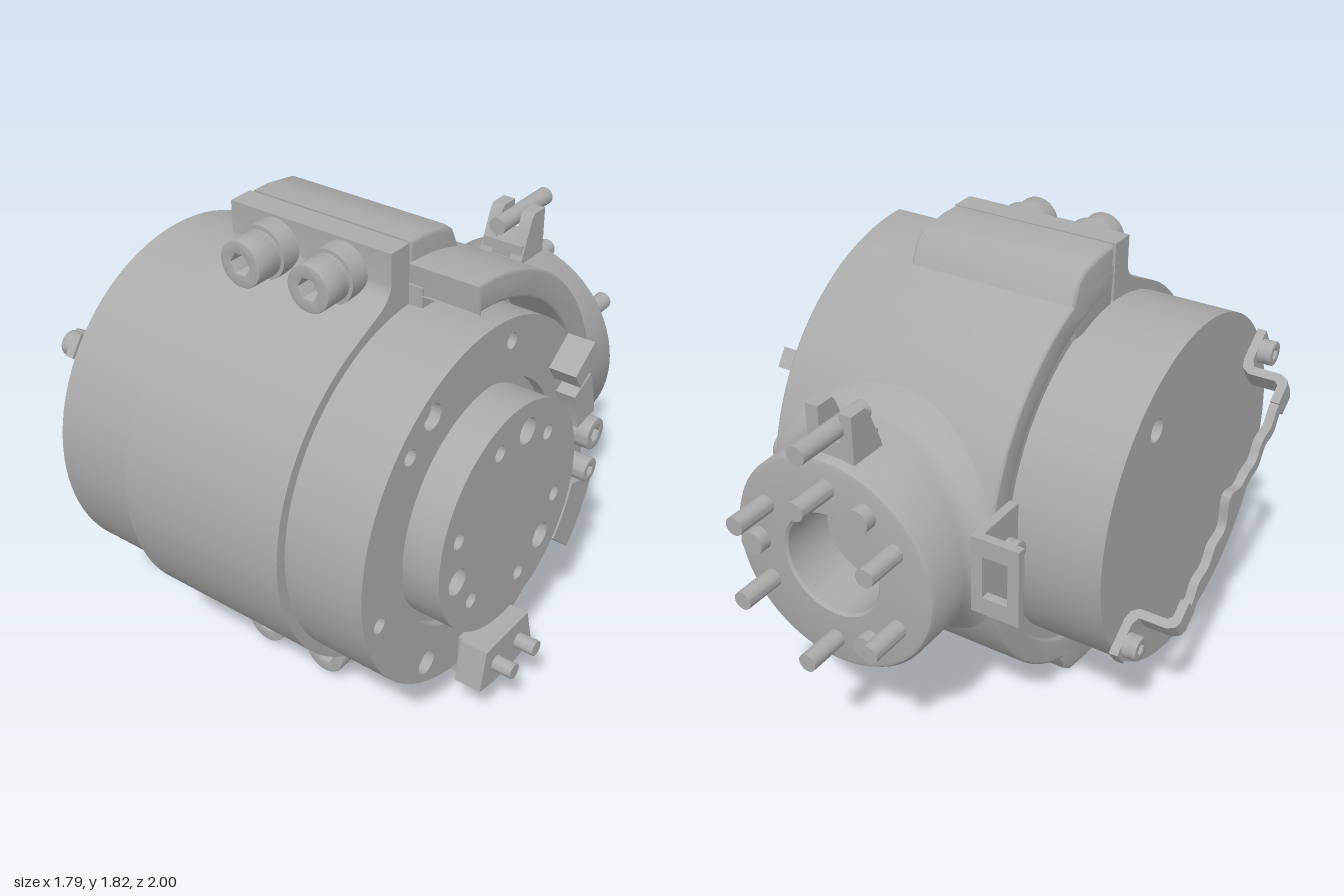
import * as THREE from 'three';
import { toCreasedNormals } from 'three/addons/utils/BufferGeometryUtils.js';

const CY = 0.91, CZ = 0.28; // main axis runs along x through here

export function createModel() {
  const model = new THREE.Group();
  const grey = new THREE.MeshStandardMaterial({ color: 0xaaaaaa });
  grey.name = 'machined grey';

  const add = (name, geo, parent = model) => {
    const g = toCreasedNormals(geo.index ? geo.toNonIndexed() : geo, 0.6);
    const mesh = new THREE.Mesh(g, grey);
    mesh.name = name;
    parent.add(mesh);
    return mesh;
  };
  // Extrude a (-z, y) shape along x from x0 to x1
  const extrudeX = (shape, x0, x1, bevel = 0) => new THREE.ExtrudeGeometry(shape, {
    depth: x1 - x0 - 2 * bevel, curveSegments: 48, bevelEnabled: bevel > 0,
    bevelThickness: bevel, bevelSize: bevel, bevelOffset: -bevel, bevelSegments: 3,
  }).rotateY(Math.PI / 2).translate(x0 + bevel, 0, 0);
  const poly = (pts) => new THREE.Shape(pts.map(([z, y]) => new THREE.Vector2(-z, y)));
  const cylX = (r, x0, x1, y = CY, z = CZ, seg = 24) =>
    new THREE.CylinderGeometry(r, r, x1 - x0, seg).rotateZ(-Math.PI / 2).translate((x0 + x1) / 2, y, z);
  const cylZ = (r, z0, z1, x, y, seg = 24) =>
    new THREE.CylinderGeometry(r, r, z1 - z0, seg).rotateX(Math.PI / 2).translate(x, y, (z0 + z1) / 2);
  const box = (x0, x1, y0, y1, z0, z1) =>
    new THREE.BoxGeometry(x1 - x0, y1 - y0, z1 - z0).translate((x0 + x1) / 2, (y0 + y1) / 2, (z0 + z1) / 2);
  // Disc facing x with round holes given as [z, y, radius]
  const drilledDisc = (r, holes) => {
    const s = new THREE.Shape().absarc(-CZ, CY, r, 0, Math.PI * 2);
    for (const [z, y, hr] of holes) s.holes.push(new THREE.Path().absarc(-z, y, hr, 0, Math.PI * 2, true));
    return s;
  };
  // Socket-head screw pointing along +z
  const screw = (name, r, len, parent = model) => {
    const g = new THREE.Group();
    g.name = name;
    const s = new THREE.Shape().absarc(0, 0, r * 0.94, 0, Math.PI * 2);
    const hex = new THREE.Path();
    for (let i = 0; i < 6; i++) {
      const a = -i * Math.PI / 3;
      hex[i ? 'lineTo' : 'moveTo'](Math.cos(a) * r * 0.55, Math.sin(a) * r * 0.55);
    }
    hex.closePath();
    s.holes.push(hex);
    const rim = new THREE.ExtrudeGeometry(s, {
      depth: len * 0.55, curveSegments: 20, bevelThickness: 0.06 * r, bevelSize: 0.06 * r, bevelSegments: 2,
    }).translate(0, 0, len * 0.45 - 0.06 * r);
    add(name + 'Rim', rim, g);
    add(name + 'Shank', cylZ(r, 0, len * 0.5, 0, 0, 28), g);
    parent.add(g);
    return g;
  };

  // Main drum, with drilled plates at both ends
  add('drum', cylX(0.685, -0.66, 0.62, CY, CZ - 0.005, 96));
  add('rightFlange', extrudeX(drilledDisc(0.685, [
    [CZ, CY, 0.465], [0.59, 1.43, 0.047], [0.13, 1.49, 0.03], [0.71, 1.34, 0.03],
    [0.87, 0.76, 0.03], [0.59, 0.39, 0.047],
  ]), 0.62, 0.66).translate(0, 0, -0.005));
  add('leftPlate', extrudeX(drilledDisc(0.685, [[-0.04, 1.33, 0.045], [0.6, 0.49, 0.045]]),
    -0.70, -0.66).translate(0, 0, -0.005));
  add('outputHub', cylX(0.43, 0.6, 0.72, CY, CZ, 64));
  add('outputFace', extrudeX(drilledDisc(0.43, [
    [0.37, 1.22, 0.03], [0.2, 1.22, 0.05], [0.06, 1.14, 0.03], [0.6, 1.0, 0.03], [0.6, 0.83, 0.05],
    [-0.02, 0.83, 0.03], [0.06, 0.69, 0.05], [0.2, 0.61, 0.03], [0.51, 0.69, 0.03],
  ]), 0.72, 0.785));

  // Front clamp half with its two flanges
  const a0 = Math.acos(-0.32 / 0.72);
  const front = new THREE.Shape();
  front.moveTo(-0.28, 1.82);
  front.lineTo(-0.38, 1.82);
  front.lineTo(-0.38, 1.70);
  front.quadraticCurveTo(-0.39, 1.65, -0.46, 1.62);
  front.lineTo(-0.60, 1.555);
  front.absarc(-CZ, CY, 0.72, a0, Math.PI * 2 - a0, false);
  front.lineTo(-0.46, 0.20);
  front.quadraticCurveTo(-0.39, 0.17, -0.38, 0.12);
  front.lineTo(-0.38, 0);
  front.lineTo(-0.28, 0);
  add('frontClamp', extrudeX(front, -0.34, 0.345));

  // Rear housing: half ring open to the right
  const ring = new THREE.Shape();
  ring.moveTo(-0.27, CY - 0.835);
  ring.absarc(-CZ, CY, 0.835, -Math.PI / 2, Math.PI / 2, false);
  ring.lineTo(-0.27, CY + 0.73);
  ring.absarc(-CZ, CY, 0.73, Math.PI / 2, -Math.PI / 2, true);
  add('rearHousing', extrudeX(ring, -0.34, 0.615, 0.012));
  const web = new THREE.Shape().absarc(-CZ, CY, 0.76, -Math.PI / 2, Math.PI / 2, false);
  add('housingWeb', extrudeX(web, -0.325, 0.4));
  // Raised clamp lugs, top and bottom
  const lug = [[0.27, 1.55], [0.27, 1.82], [0.19, 1.82], [0.06, 1.80], [0.02, 1.77], [-0.03, 1.66], [0, 1.55]];
  add('topLug', extrudeX(poly(lug), -0.34, 0.345, 0.015));
  add('bottomLug', extrudeX(poly(lug.map(([z, y]) => [z, 1.82 - y]).reverse()), -0.34, 0.345, 0.015));

  // Clamp screws on washers
  for (const [x, y] of [[-0.14, 1.71], [0.15, 1.71], [-0.13, 0.125], [0.16, 0.125]]) {
    add('clampWasher', cylZ(0.1, 0.36, 0.46, x, y, 32));
    screw('clampScrew', 0.086, 0.17).position.set(x, y, y > 1 ? 0.40 : 0.375);
  }

  // Rear port with bore
  const PX = 0.137;
  const profile = [[0.43, 0.35], [0.43, 0.81], [0.42, 0.825], [0.405, 0.83], [0.21, 0.83], [0.2, 0.82], [0.2, 0.6], [0, 0.6]];
  add('rearPort', new THREE.LatheGeometry(profile.map((p) => new THREE.Vector2(...p)), 72)
    .rotateX(-Math.PI / 2).translate(PX, CY, 0));
  // Fillet following the saddle between port and housing
  const pos = [], idx = [], N = 72, M = 8;
  for (let j = 0; j <= M; j++) for (let i = 0; i <= N; i++) {
    const t = j / M * Math.PI / 2, a = i / N * Math.PI * 2;
    const r = 0.43 + 0.1 * (1 - Math.cos(t));
    const x = THREE.MathUtils.clamp(r * Math.cos(a), -0.473, 0.473), y = r * Math.sin(a);
    const z = CZ - Math.sqrt(0.832 ** 2 - y * y) - 0.1 * (1 - Math.sin(t));
    pos.push(PX + x, CY + y, z);
    if (i < N && j < M) {
      const p = j * (N + 1) + i, q = p + N + 1;
      idx.push(p, q, p + 1, p + 1, q, q + 1);
    }
  }
  const fillet = new THREE.BufferGeometry();
  fillet.setAttribute('position', new THREE.Float32BufferAttribute(pos, 3));
  fillet.setIndex(idx.reverse());
  add('portFillet', fillet);
  // Long studs and short dowels around the bore
  for (let i = 0; i < 6; i++) {
    const a = Math.PI / 6 + i * Math.PI / 3;
    add('portStud', cylZ(0.036, -1, -0.8, PX + 0.32 * Math.cos(a), CY + 0.32 * Math.sin(a)));
    if (i % 2) continue;
    const b = i * Math.PI / 3;
    add('portDowel', cylZ(0.047, -0.88, -0.8, PX + 0.32 * Math.cos(b), CY + 0.31 * Math.sin(b)));
  }

  // Forked lug with pin on top of the port
  const prong = [[-0.62, 1.3], [-0.64, 1.36], [-0.70, 1.5], [-0.715, 1.515], [-0.79, 1.515], [-0.79, 1.3]];
  add('forkProng', extrudeX(poly(prong), 0.042, 0.095));
  add('forkProng', extrudeX(poly(prong), 0.18, 0.233));
  add('forkBase', box(0.05, 0.225, 1.28, 1.4, -0.79, -0.64));
  add('forkPin', cylZ(0.036, -1, -0.64, 0.11, 1.455));

  // Angle bracket on the housing's right side, with a window
  const plate = new THREE.Shape([[-0.535, 0.82], [-0.345, 0.82], [-0.345, 1.13], [-0.535, 1.13]].map((p) => new THREE.Vector2(...p)));
  plate.holes.push(new THREE.Path([[-0.49, 0.89], [-0.49, 1.06], [-0.39, 1.06], [-0.39, 0.89]].map((p) => new THREE.Vector2(...p))));
  add('bracketPlate', new THREE.ExtrudeGeometry(plate, { depth: 0.035, bevelEnabled: false }).translate(0, 0, -0.68));
  add('bracketFoot', box(-0.378, -0.343, 0.82, 1.13, -0.66, -0.43));
  const bracketScrew = screw('bracketScrew', 0.048, 0.055);
  bracketScrew.position.set(-0.37, 0.975, -0.5);
  bracketScrew.rotation.y = -Math.PI / 2;

  // Diagonal strap handle on the drum's end
  const handle = new THREE.Group();
  handle.name = 'strapHandle';
  handle.position.set(0, 0.91, 0.27);
  handle.rotation.x = Math.atan2(1.03, 0.75);
  model.add(handle);
  const foot = [[-0.70, 0.70], [-0.735, 0.70], [-0.735, 0.57], [-0.75, 0.54], [-0.86, 0.54], [-0.89, 0.525], [-0.90, 0.50],
    [-0.90, 0.42], [-0.865, 0.42], [-0.865, 0.49], [-0.85, 0.505], [-0.74, 0.505], [-0.71, 0.525], [-0.70, 0.56]];
  for (const turn of [0, Math.PI]) {
    const end = new THREE.Group();
    end.name = 'strapEnd';
    end.rotation.x = turn;
    handle.add(end);
    add('strapFoot', new THREE.ExtrudeGeometry(new THREE.Shape(foot.map((p) => new THREE.Vector2(...p))),
      { depth: 0.09, bevelEnabled: false }).translate(0, 0, -0.045), end);
    const s = screw('strapScrew', 0.048, 0.06, end);
    s.position.set(-0.73, 0.635, 0);
    s.rotation.y = -Math.PI / 2;
  }
  const upper = [], lower = [];
  for (let i = 0; i <= 60; i++) {
    const u = -0.45 + 0.9 * i / 60;
    const v = 0.012 * Math.sin(u * 42) - 0.08 * Math.exp(-((u / 0.06) ** 2));
    upper.push([v + 0.025, u]);
    lower.unshift([v - 0.025, u]);
  }
  add('wavyStrap', extrudeX(poly([...upper, ...lower]), -0.90, -0.865), handle);

  // Curved terminal segments beside the output hub
  const segment = (name, r0, r1, d0, d1, x1) => {
    const [s, e] = [d0, d1].map(THREE.MathUtils.degToRad);
    const shape = new THREE.Shape().absarc(-CZ, CY, r1, s, e, false);
    shape.absarc(-CZ, CY, r0, e, s, true);
    add(name, extrudeX(shape, 0.64, x1));
  };
  segment('lowerSegment', 0.51, 0.665, -43, -18, 0.76);
  segment('middleSegment', 0.52, 0.66, -18, 7, 0.70);
  segment('upperSegment', 0.53, 0.65, 7, 24, 0.74);
  add('wedgeBlock', new THREE.BoxGeometry(0.11, 0.08, 0.15).rotateX(0.6).translate(0.715, 1.265, -0.225));
  for (const [y, z, r] of [[0.925, -0.315, 0.062], [0.77, -0.3, 0.048]]) {
    const s = screw('terminalScrew', r, 0.09);
    s.position.set(0.69, y, z);
    s.rotation.y = Math.PI / 2;
  }

  // Two-pin connector block at the bottom
  add('connectorBlock', extrudeX(poly([[0.425, 0.395], [0.46, 0.235], [0.36, 0.215], [0.21, 0.215], [0.11, 0.235], [0.15, 0.395]].reverse()), 0.70, 0.81));
  add('connectorNeck', box(0.65, 0.71, 0.25, 0.36, 0.19, 0.38));
  for (const z of [0.36, 0.21]) add('connectorPin', cylX(0.03, 0.8, 0.89, 0.305, z));

  return model;
}
